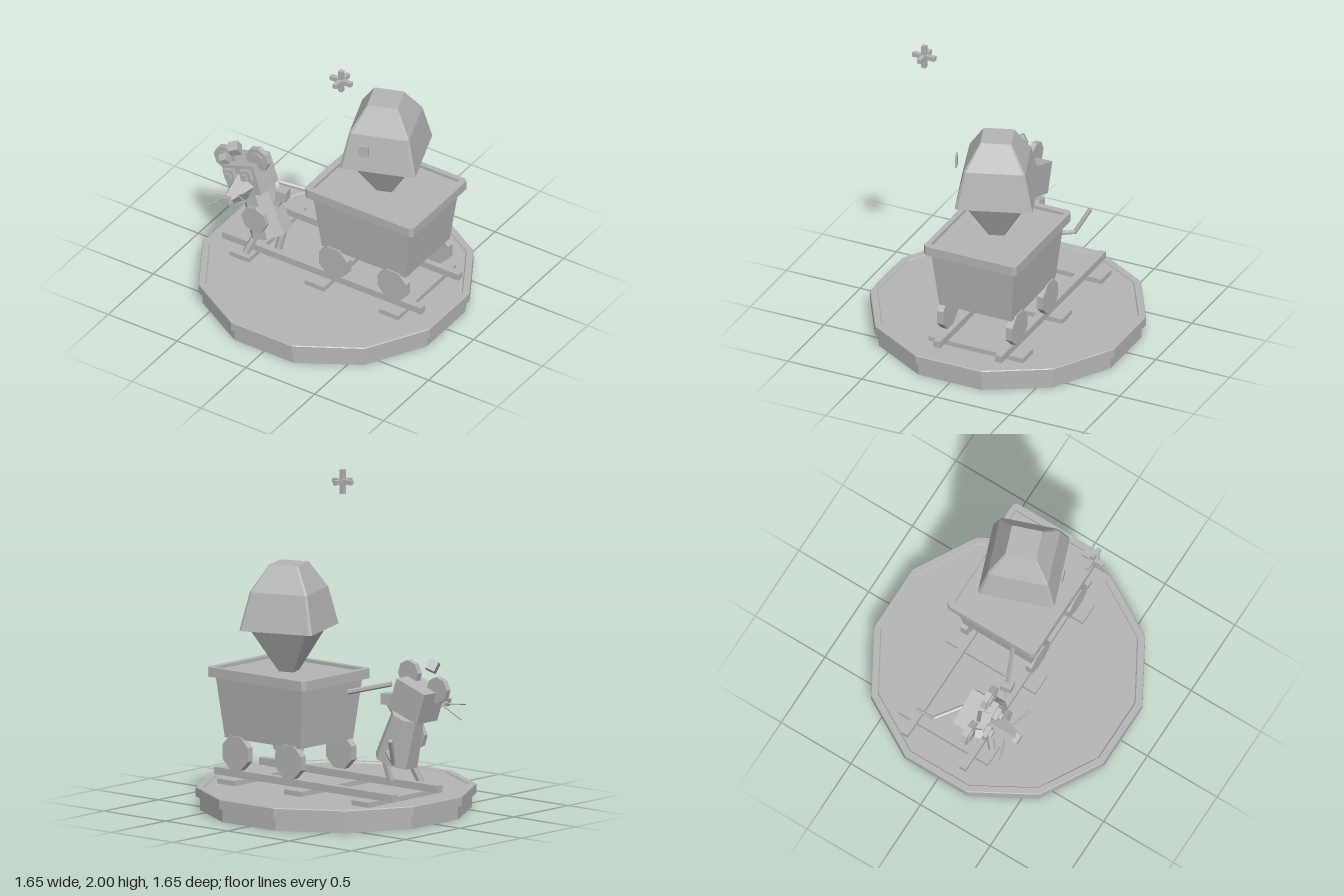
import * as THREE from 'three';
import { ConvexGeometry } from 'three/addons/geometries/ConvexGeometry.js';

const V = (x, y, z) => new THREE.Vector3(x, y, z);

export function createModel() {
  const root = new THREE.Group();
  const stone = new THREE.MeshStandardMaterial({ color: 0xb4b4b4, flatShading: true });
  stone.name = 'plain grey';

  function add(name, geo, pos = [0, 0, 0], rot = [0, 0, 0], parent = root) {
    const m = new THREE.Mesh(geo, stone);
    m.name = name;
    m.position.set(...pos);
    m.rotation.set(...rot);
    parent.add(m);
    return m;
  }
  const box = (w, h, d) => new THREE.BoxGeometry(w, h, d);
  // Octagonal disc facing +z with flats up, down, left and right
  const disc = (r, t) => new THREE.CylinderGeometry(r, r, t, 8).rotateY(Math.PI / 8).rotateX(Math.PI / 2);
  // Straight rod between two points
  function rod(name, a, b, r, parent = root, sides = 6) {
    const d = b.clone().sub(a);
    const m = add(name, new THREE.CylinderGeometry(r, r, d.length(), sides),
      a.clone().add(b).multiplyScalar(0.5).toArray(), [0, 0, 0], parent);
    m.quaternion.setFromUnitVectors(V(0, 1, 0), d.normalize());
    return m;
  }

  // Twelve-sided plinth with a shallow rim
  const profile = [[0, 0], [0.828, 0], [0.828, 0.08], [0.855, 0.085], [0.855, 0.14],
    [0.85, 0.145], [0.812, 0.145], [0.805, 0.135], [0, 0.135]];
  add('plinth', new THREE.LatheGeometry(
    profile.map(p => new THREE.Vector2(...p)), 12, Math.PI / 12));

  // Track
  const midZ = -0.08;
  for (const x of [-0.545, 0, 0.54]) add('sleeper', box(0.14, 0.032, 0.64), [x, 0.15, midZ]);
  for (const z of [0.13, -0.285]) add('rail', box(1.445, 0.045, 0.045), [-0.005, 0.19, z]);

  // Cart
  const cart = new THREE.Group();
  cart.name = 'cart';
  cart.position.set(0.31, 0, midZ);
  root.add(cart);
  const body = new THREE.CylinderGeometry(Math.SQRT1_2, Math.SQRT1_2 * 0.865, 1, 4).rotateY(Math.PI / 4);
  add('cartBody', body.scale(0.705, 0.415, 0.565), [0, 0.6175, 0], [0, 0, 0], cart);
  const rect = (path, w, h, c) => path.setFromPoints([
    [-w + c, -h], [w - c, -h], [w, -h + c], [w, h - c], [w - c, h], [-w + c, h], [-w, h - c], [-w, -h + c],
  ].map(p => new THREE.Vector2(...p)));
  const rim = rect(new THREE.Shape(), 0.393, 0.313, 0.02);
  rim.holes.push(rect(new THREE.Path(), 0.352, 0.28, 0.005));
  add('cartRim', new THREE.ExtrudeGeometry(rim, { depth: 0.06, bevelEnabled: false }).rotateX(-Math.PI / 2),
    [0, 0.785, 0], [0, 0, 0], cart);
  for (const x of [-0.216, 0.212])
    for (const z of [0.234, -0.233]) add('wheel', disc(0.112, 0.044), [x, 0.323, z], [0, 0, 0], cart);
  rod('cartHandle', V(-0.29, 0.78, 0.18), V(-0.04, 0.715, 0.065), 0.016);

  // Cut gem with narrow bevelled corners
  const gem = new THREE.Group();
  gem.name = 'gem';
  gem.position.set(0.31, 0, midZ);
  root.add(gem);
  const ring = (r, y) => [0, 1, 2, 3].flatMap(i => [-2, 2].map(o => {
    const a = THREE.MathUtils.degToRad(25 + i * 90 + o);
    return V(r * Math.cos(a), y, r * Math.sin(a));
  }));
  add('gemCrown', new ConvexGeometry([...ring(0.325, 1.095), ...ring(0.256, 1.33), ...ring(0.13, 1.49)]),
    [0, 0, 0], [0, 0, 0], gem);
  add('gemPoint', new ConvexGeometry([...ring(0.256, 1.097), V(0, 0.73, 0)]), [0, 0, 0], [0, 0, 0], gem);
  add('gemGlint', box(0.063, 0.075, 0.012), [0.015, 1.263, 0.27], [0, Math.PI / 9, 0], gem);

  // Floating sparkle
  for (const s of [[0.15, 0.028, 0.028], [0.028, 0.15, 0.028], [0.028, 0.028, 0.15]])
    add('sparkle', box(...s), [0.31, 1.925, 0.415]);

  // Mouse, leaning away from the cart
  const mouse = new THREE.Group();
  mouse.name = 'mouse';
  root.add(mouse);
  const lean = 0.32;
  const torso = new THREE.CylinderGeometry(0.105, 0.138, 0.3, 8).rotateY(Math.PI / 8);
  add('torso', torso, [-0.445, 0.477, 0.105], [0, 0, lean], mouse);
  add('belly', disc(0.09, 0.03), [-0.433, 0.477, 0.235], [0, 0, lean], mouse);
  rod('leg', V(-0.45, 0.37, 0.14), V(-0.515, 0.18, 0.21), 0.024, mouse);
  rod('leg', V(-0.325, 0.38, 0.06), V(-0.355, 0.2, 0.1), 0.024, mouse);
  rod('tail', V(-0.44, 0.41, -0.03), V(-0.605, 0.375, -0.16), 0.014, mouse);
  rod('tail', V(-0.6, 0.37, -0.155), V(-0.65, 0.53, -0.24), 0.014, mouse);
  rod('forearm', V(-0.31, 0.61, 0.19), V(-0.275, 0.68, 0.17), 0.024, mouse);
  add('hand', box(0.07, 0.068, 0.07), [-0.275, 0.69, 0.17], [0, 0.15, 0], mouse);

  // Head, built upright and tilted as one
  const head = new THREE.Group();
  head.name = 'head';
  head.position.set(-0.54, 0.722, 0.13);
  head.rotation.z = lean;
  mouse.add(head);
  add('skull', box(0.24, 0.2, 0.19), [0, 0, 0], [0, 0, 0], head);
  add('snout', new THREE.CylinderGeometry(0.035, 0.092, 0.17, 4).rotateX(Math.PI / 2),
    [-0.008, -0.045, 0.175], [0, 0, 0], head);
  add('nose', box(0.06, 0.05, 0.035), [-0.008, -0.045, 0.27], [0, 0, 0], head);
  for (const s of [-1, 1]) {
    add('ear', disc(0.082, 0.036), [s * 0.122, 0.118, 0.026], [0, 0, 0], head);
    add('innerEar', disc(0.05, 0.012), [s * 0.122, 0.118, 0.048], [0, 0, 0], head);
    add('eye', box(0.075, 0.07, 0.03), [s * 0.061, 0.045, 0.11], [0, 0, 0], head);
    add('pupil', box(0.038, 0.038, 0.02), [s * 0.061, 0.045, 0.135], [0, 0, 0], head);
    for (const y of [0.012, -0.095])
      rod('whisker', V(s * 0.03, -0.045, 0.2), V(s * 0.178, y, 0.255), 0.004, head, 4);
  }
  // Loose cubes above the brow
  add('pebble', box(0.065, 0.065, 0.065), [-0.6, 0.925, 0.205], [0.5, 0.5, 0.15], mouse);
  add('pebble', box(0.05, 0.05, 0.05), [-0.675, 0.815, 0.205], [0.4, 0.5, 0.3], mouse);

  return root;
}
